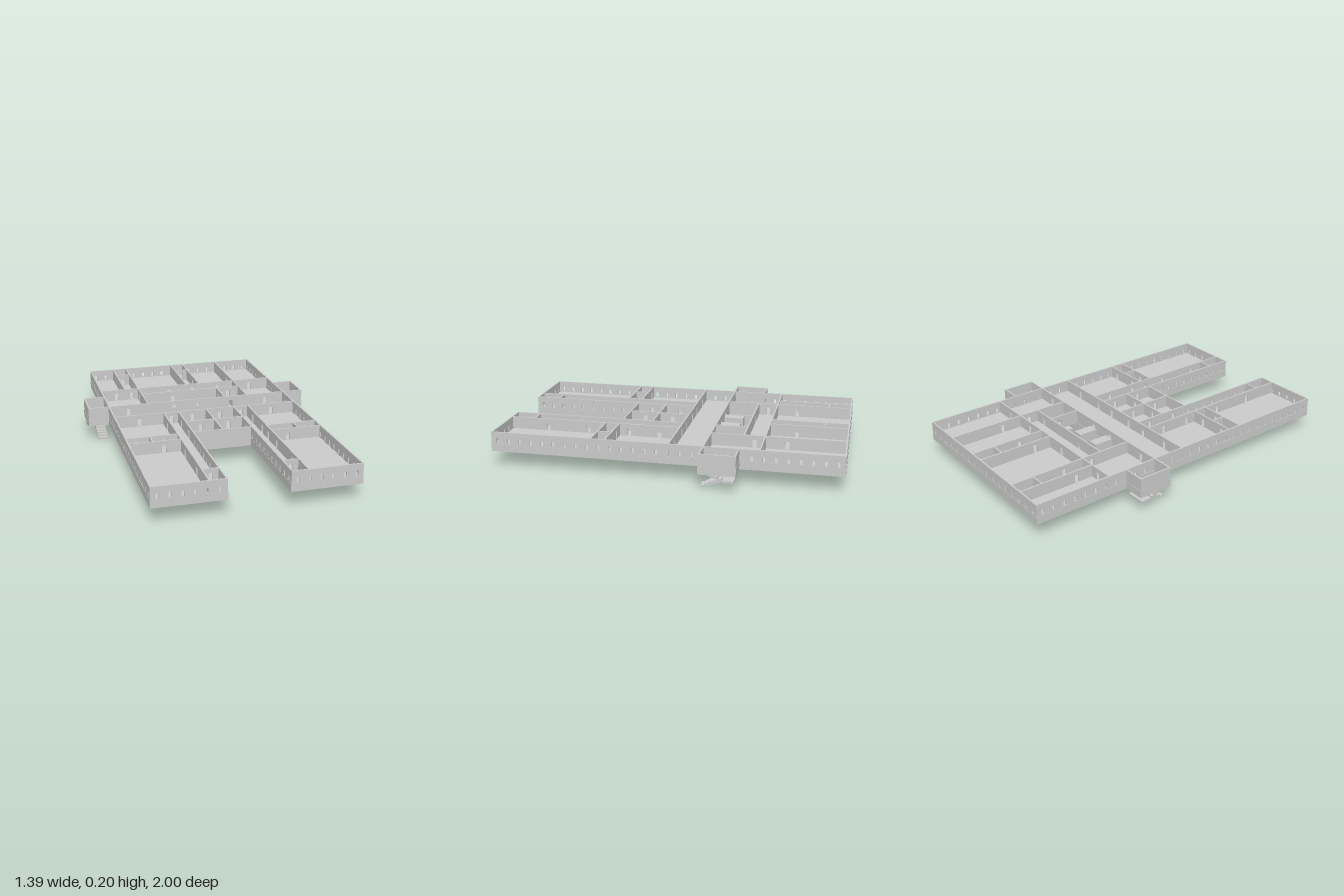
import * as THREE from 'three';

const BASE = 0.09, FLOOR = 0.135, TOP = 0.205;
const mat = new THREE.MeshStandardMaterial({ color: 0xcccccc, flatShading: true, side: THREE.DoubleSide });

function rect(Type, x0, y0, x1, y1) {
  const s = new Type();
  s.moveTo(x0, y0); s.lineTo(x1, y0); s.lineTo(x1, y1); s.lineTo(x0, y1); s.closePath();
  return s;
}

export function createModel() {
  const root = new THREE.Group();
  root.name = 'buildingFloor';

  function add(geo, name, parent = root) {
    const m = new THREE.Mesh(geo, mat);
    m.name = name;
    parent.add(m);
    return m;
  }

  function box(name, x0, x1, y0, y1, z0, z1) {
    const m = add(new THREE.BoxGeometry(x1 - x0, y1 - y0, z1 - z0), name);
    m.position.set((x0 + x1) / 2, (y0 + y1) / 2, (z0 + z1) / 2);
    return m;
  }

  // Straight wall from (xa,za) to (xb,zb) with holes [centre along wall, width, bottom, top]
  function wall(name, xa, za, xb, zb, y0 = FLOOR, y1 = TOP, holes = [], t = 0.009) {
    const len = Math.hypot(xb - xa, zb - za);
    const s = rect(THREE.Shape, -t / 2, y0, len + t / 2, y1);
    for (const [c, w, h0, h1] of holes) s.holes.push(rect(THREE.Path, c - w / 2, h0, c + w / 2, h1));
    const g = new THREE.ExtrudeGeometry(s, { depth: t, bevelEnabled: false });
    g.translate(0, 0, -t / 2);
    const m = add(g, name);
    m.position.set(xa, 0, za);
    m.rotation.y = -Math.atan2(zb - za, xb - xa);
    return m;
  }

  // Interior wall with doors at the given distances from its start
  const partition = (xa, za, xb, zb, ...doors) =>
    wall('partitionWall', xa, za, xb, zb, FLOOR - 0.004, TOP, doors.map(d => [d, 0.024, FLOOR + 0.001, FLOOR + 0.045]));

  // Outer wall: plinth below, wall with slit windows above
  function outer(xa, za, xb, zb, windows = true) {
    const len = Math.hypot(xb - xa, zb - za), n = windows ? Math.floor(len / 0.065) : 0, holes = [];
    for (let i = 0; i < n; i++) holes.push([(i + 0.5) * len / n, 0.014, FLOOR + 0.005, FLOOR + 0.032]);
    wall('plinth', xa, za, xb, zb, BASE, FLOOR, [], 0.012);
    wall('outerWall', xa, za, xb, zb, FLOOR, TOP, holes, 0.009);
  }

  // Floor slab with front notch and central well
  const X = 0.565, Z = 0.994, N = 0.174, NZ = 0.327;
  const outline = [[-X, -Z], [X, -Z], [X, Z], [N, Z], [N, NZ], [-N, NZ], [-N, Z], [-X, Z]];
  const slab = new THREE.Shape(outline.map(p => new THREE.Vector2(p[0], -p[1])));
  slab.holes.push(rect(THREE.Path, -0.323, 0.232, 0.32, 0.42));
  const slabGeo = new THREE.ExtrudeGeometry(slab, { depth: 0.015, bevelEnabled: false });
  slabGeo.rotateX(-Math.PI / 2);
  add(slabGeo, 'floorSlab').position.y = FLOOR - 0.016;

  // Outer walls
  outline.forEach((p, i) => {
    const q = outline[(i + 1) % outline.length];
    outer(p[0], p[1], q[0], q[1], i !== 4);
  });

  // Cross walls over the full width
  partition(-X, -0.54, X, -0.54, 0.1, 0.2, 0.45, 0.61, 0.78, 1.0);
  partition(-X, -0.23, X, -0.23, 0.12, 0.41, 0.565, 0.78, 1.01);
  partition(-X, -0.035, X, -0.035, 0.15, 0.345, 0.48, 0.65, 0.785, 0.98);
  partition(-0.32, -0.42, 0.32, -0.42, 0.2, 0.57);

  // Back rooms
  partition(-0.41, -Z, -0.41, -0.54, 0.35);
  partition(0, -Z, 0, -0.54, 0.35);
  partition(0.087, -Z, 0.087, -0.54, 0.3);
  partition(-0.41, -0.86, -0.323, -0.86, 0.044);
  partition(0, -0.86, 0.087, -0.86, 0.044);
  partition(0.174, -0.42, 0.174, -0.23, 0.06);

  // Mirrored rooms
  for (const s of [-1, 1]) {
    partition(s * 0.322, -Z, s * 0.322, -0.54, 0.33);
    partition(s * 0.322, -0.54, s * 0.322, -0.23, 0.06);
    partition(s * 0.265, -0.035, s * 0.265, Z, 0.12, 0.3, 0.405, 0.55, 0.8);
    partition(s * N, -0.035, s * N, NZ, 0.09, 0.27);
    partition(s * 0.265, 0.327, s * X, 0.327, 0.08, 0.24);
    partition(s * 0.265, 0.41, s * X, 0.41, 0.1);
    partition(s * 0.428, 0.327, s * 0.428, 0.41);
    partition(s * N, 0.85, s * 0.265, 0.85, 0.045);
  }
  partition(-N, 0.147, N, 0.147, 0.09, 0.26);
  partition(0, -0.035, 0, NZ, 0.1, 0.27);

  // Well below the hall, open at the bottom
  wall('wellWall', -0.32, -0.23, 0.22, -0.23, 0, FLOOR - 0.014);
  wall('wellWall', -0.32, -0.415, 0.22, -0.415, 0, FLOOR - 0.014);
  wall('wellWall', -0.32, -0.415, -0.32, -0.23, 0, FLOOR - 0.014);
  box('hallBlock', -0.18, -0.12, 0.1, 0.16, -0.35, -0.23);
  box('hallBlock', -0.03, 0.03, 0.1, 0.16, -0.35, -0.23);
  box('stairLanding', 0.174, 0.222, FLOOR - 0.016, FLOOR, -0.42, -0.23);

  // Flight of steps with sloping underside, rising from z0 to z1
  function flight(x0, x1, z0, z1, y0, y1, parent) {
    const n = 6, dz = (z1 - z0) / n, dy = (y1 - y0) / n, s = new THREE.Shape();
    s.moveTo(z0, y0);
    for (let i = 0; i < n; i++) {
      s.lineTo(z0 + i * dz, y0 + (i + 1) * dy);
      s.lineTo(z0 + (i + 1) * dz, y0 + (i + 1) * dy);
    }
    s.lineTo(z1, y1 - 2 * dy);
    s.lineTo(z0 + dz, y0);
    const g = new THREE.ExtrudeGeometry(s, { depth: x1 - x0, bevelEnabled: false });
    g.rotateY(-Math.PI / 2);
    add(g, 'stairFlight', parent).position.x = x1;
  }

  // Two flights around a half landing
  function stairs(x0, xm, x1, zFoot, zTurn, zEnd) {
    const g = new THREE.Group();
    g.name = 'staircase';
    root.add(g);
    flight(x0, xm, zFoot, zTurn, 0, 0.06, g);
    flight(xm, x1, zTurn, zFoot, 0.06, FLOOR - 0.005, g);
    const l = add(new THREE.BoxGeometry(x1 - x0, 0.012, Math.abs(zEnd - zTurn)), 'halfLanding', g);
    l.position.set((x0 + x1) / 2, 0.056, (zTurn + zEnd) / 2);
    return g;
  }
  stairs(0.222, 0.27, 0.316, -0.42, -0.3, -0.235);

  // Side stair towers
  for (const s of [-1, 1]) {
    stairs(0.58, 0.64, 0.69, -0.23, -0.355, -0.42).scale.x = s;
    outer(s * X, -0.425, s * 0.689, -0.425, false);
    outer(s * 0.689, -0.425, s * 0.689, -0.23, false);
    outer(s * X, -0.23, s * 0.689, -0.23, false);
  }
  return root;
}
